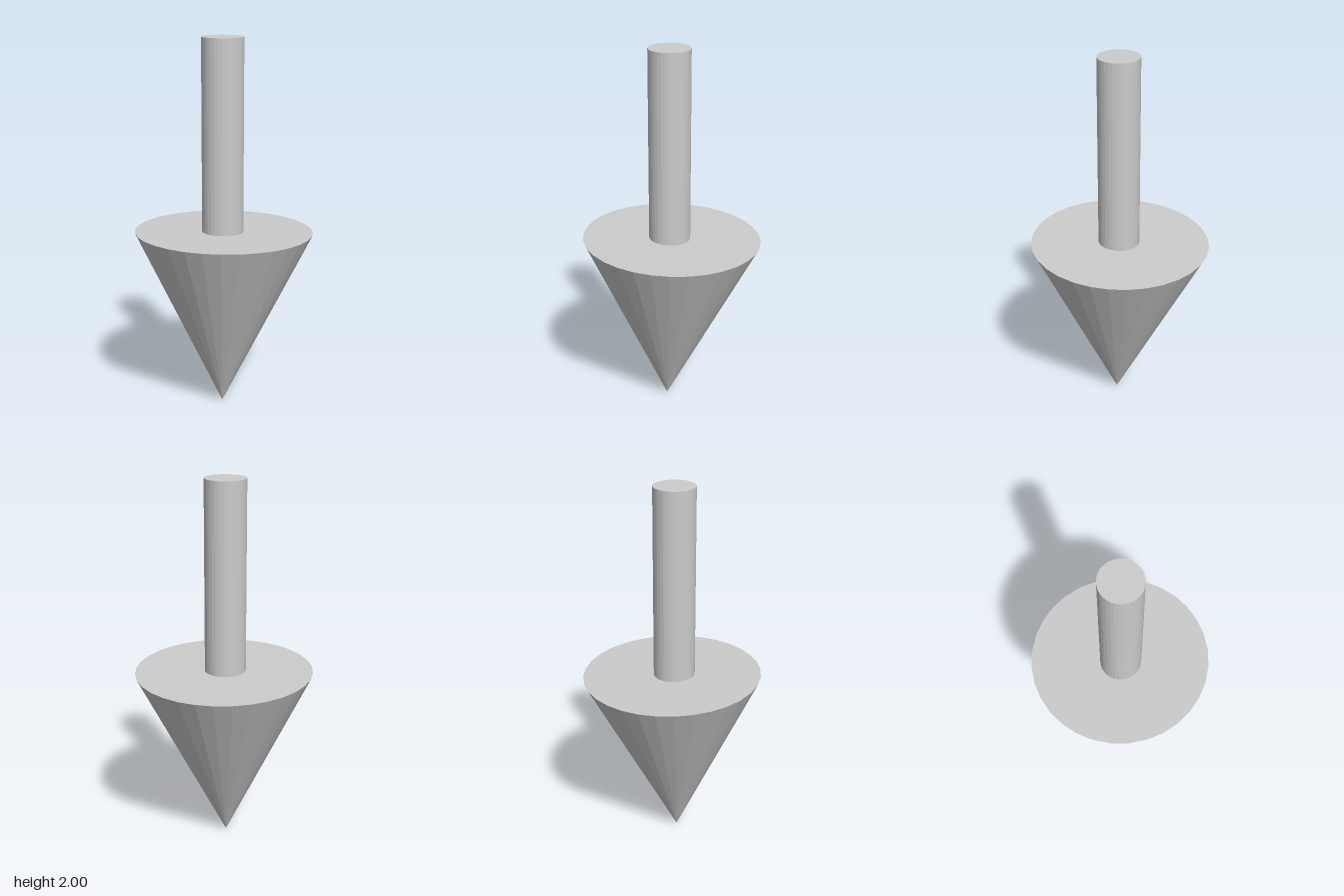
import * as THREE from 'three';

const SIDES = 32;

export function createModel() {
  const group = new THREE.Group();
  const material = new THREE.MeshStandardMaterial({ color: 0xcccccc, flatShading: true });

  // Upright round shaft, standing on the wide end of the head
  const bottom = 0.96, top = 2;
  const shaft = new THREE.Mesh(
    new THREE.CylinderGeometry(0.11, 0.11, top - bottom, SIDES), material);
  shaft.name = 'shaft';
  shaft.position.set(-0.012, (top + bottom) / 2, 0.003);
  group.add(shaft);

  // Downward cone, leaning slightly so its point sits off centre
  const tip = new THREE.Vector3(-0.025, 0, 0.012);
  const baseCentre = new THREE.Vector3(0, 0.975, 0);
  const axis = baseCentre.clone().sub(tip);
  const coneGeometry = new THREE.ConeGeometry(0.476, axis.length(), SIDES);
  coneGeometry.rotateX(Math.PI).rotateY(-0.02);
  const head = new THREE.Mesh(coneGeometry, material);
  head.name = 'arrowHead';
  head.position.copy(tip).add(baseCentre).multiplyScalar(0.5);
  head.quaternion.setFromUnitVectors(new THREE.Vector3(0, 1, 0), axis.normalize());
  group.add(head);

  return group;
}
